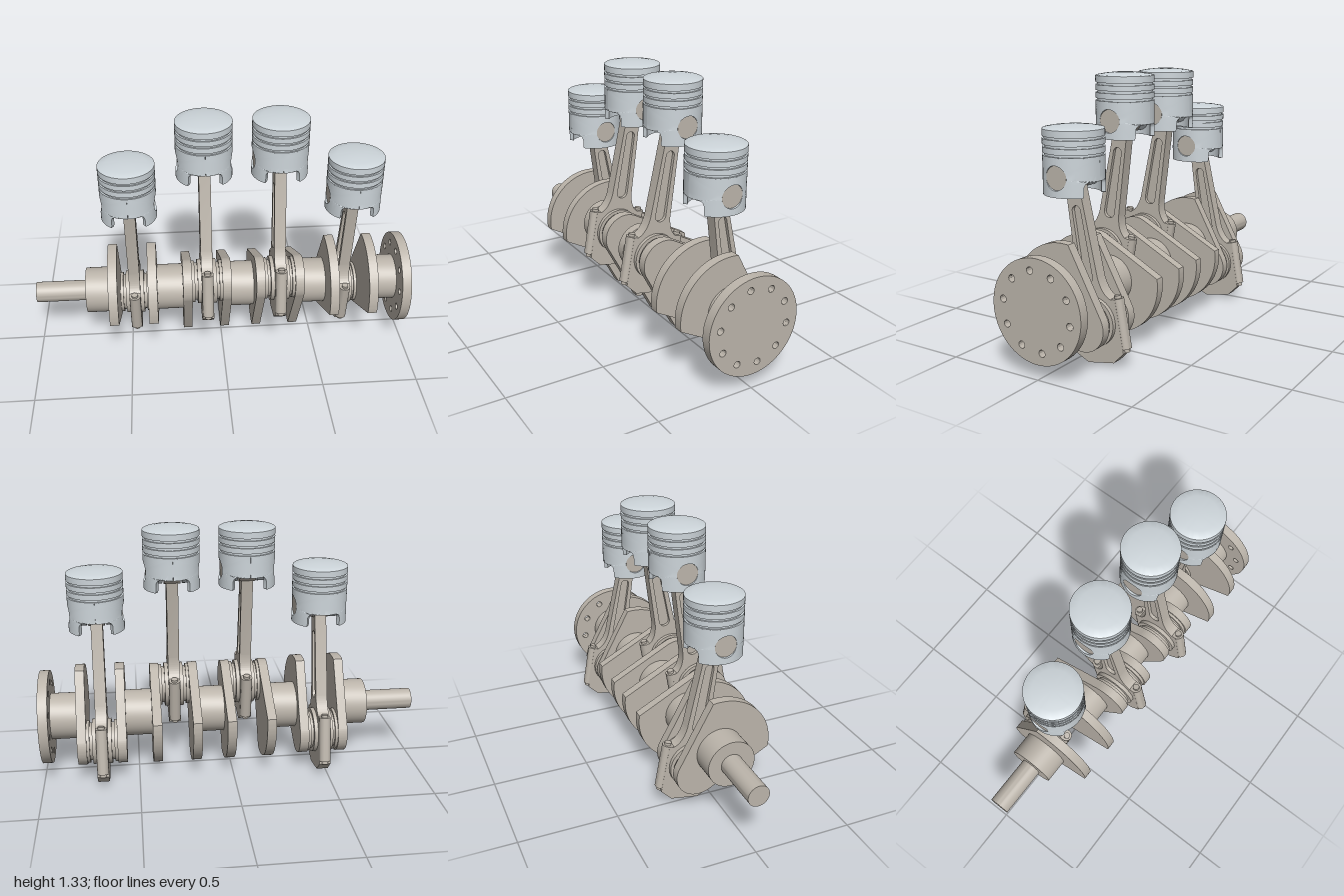
import * as THREE from 'three';
import { toCreasedNormals } from 'three/addons/utils/BufferGeometryUtils.js';

const steel = new THREE.MeshStandardMaterial({ color: 0xbcb5ab });
const alloy = new THREE.MeshStandardMaterial({ color: 0xcdd5da, side: THREE.DoubleSide });

const AXIS_Y = 0.32;                       // crankshaft centre line
const PIN = { z: -0.108, y: -0.107 };      // crank pin of the outer throws, from the axis
const ROD = 0.684;                         // rod length between centres

function add(parent, name, geo, mat = steel) {
  const mesh = new THREE.Mesh(toCreasedNormals(geo, 0.55), mat);
  mesh.name = name;
  parent.add(mesh);
  return mesh;
}

// cylinder lying along x between x0 and x1
const rod = (r, x0, x1, seg = 48) =>
  new THREE.CylinderGeometry(r, r, x1 - x0, seg).rotateZ(Math.PI / 2).translate((x0 + x1) / 2, 0, 0);

// shape drawn in (z, y), extruded along x and centred on x = 0
function slab(shape, width) {
  return new THREE.ExtrudeGeometry(shape, { depth: width, bevelEnabled: false, curveSegments: 32 })
    .translate(0, 0, -width / 2).rotateY(-Math.PI / 2);
}

const circlePath = (x, y, r) => new THREE.Path().absarc(x, y, r, 0, Math.PI * 2, true);

// counterweight arc joined by straight flanks to a round pin end
function webShape() {
  const R = 0.27, r = 0.118, s = new THREE.Shape();
  const a = -0.149, end = Math.PI / 2 - a;
  s.absarc(0, 0, R, a, end, false);
  const corner = new THREE.Vector2(R * Math.cos(a) - PIN.z, R * Math.sin(a) - PIN.y);
  const t = corner.angle() - Math.acos(r / corner.length());
  s.absarc(PIN.z, PIN.y, r, Math.PI / 2 - t, t + Math.PI * 2, false);
  s.closePath();
  return s;
}

// one crank throw: two webs, a pin and its shoulders
function crankThrow() {
  const g = new THREE.Group();
  g.name = 'crankThrow';
  for (const side of [-1, 1]) {
    add(g, 'crankWeb', slab(webShape(), 0.048)).position.x = side * 0.103;
    add(g, 'pinShoulder', rod(0.11, -0.008, 0.008)).position.set(side * 0.072, PIN.y, PIN.z);
  }
  add(g, 'crankPin', rod(0.098, -0.08, 0.08)).position.set(0, PIN.y, PIN.z);
  return g;
}

// connecting rod, origin at the big end centre, pointing up
function connectingRod() {
  const g = new THREE.Group();
  g.name = 'connectingRod';

  const s = new THREE.Shape();
  s.moveTo(-0.072, -0.2);
  s.lineTo(0.072, -0.2);
  s.lineTo(0.135, -0.155);
  s.lineTo(0.135, 0.1);
  s.lineTo(0.11, 0.1);
  s.quadraticCurveTo(0.068, 0.125, 0.058, 0.2);
  s.lineTo(0.04, 0.6);
  s.lineTo(0.04, 0.66);
  s.lineTo(-0.04, 0.66);
  s.lineTo(-0.04, 0.6);
  s.lineTo(-0.058, 0.2);
  s.quadraticCurveTo(-0.068, 0.125, -0.11, 0.1);
  s.lineTo(-0.135, 0.1);
  s.lineTo(-0.135, -0.155);
  s.closePath();
  // long tapered recess on both faces
  const slot = new THREE.Path();
  slot.absarc(0, 0.208, 0.03, Math.PI, Math.PI * 2, false);
  slot.absarc(0, 0.518, 0.023, 0, Math.PI, false);
  slot.closePath();
  s.holes.push(slot);
  add(g, 'rodBody', slab(s, 0.06));
  add(g, 'rodRecess', new THREE.BoxGeometry(0.024, 0.38, 0.07).translate(0, 0.36, 0));

  add(g, 'bigEndBearing', rod(0.118, -0.05, 0.05));
  add(g, 'smallEnd', rod(0.07, -0.042, 0.042)).position.y = ROD;
  for (const side of [-1, 1]) {
    add(g, 'boltBoss', new THREE.CylinderGeometry(0.03, 0.03, 0.237, 24)).position.set(0, -0.018, side * 0.13);
    add(g, 'capBolt', new THREE.CylinderGeometry(0.017, 0.017, 0.268, 16)).position.set(0, -0.02, side * 0.133);
  }
  return g;
}

// half of the skirt: wall lofted from the pin hole out to a notched outline
function skirtHalf() {
  const R = 0.143, IN = 0.122, H = Math.PI / 2;
  const o = new THREE.Shape();
  o.moveTo(H, 0.09);
  o.lineTo(-H, 0.09);
  o.lineTo(-H, -0.02);
  o.lineTo(-1.12, -0.02);
  o.quadraticCurveTo(-0.94, -0.022, -0.94, -0.05);
  o.lineTo(-0.94, -0.088);
  o.lineTo(0.94, -0.088);
  o.lineTo(0.94, -0.05);
  o.quadraticCurveTo(0.94, -0.022, 1.12, -0.02);
  o.lineTo(H, -0.02);
  o.closePath();
  const outline = o.getSpacedPoints(160);
  const steps = 8, rings = [];
  for (let i = 0; i <= steps; i++) rings.push([i / steps, R]);
  for (let i = steps; i >= 0; i--) rings.push([i / steps, IN]);
  rings.push([0, R]);
  const pos = [], idx = [], n = outline.length;
  for (const [t, r] of rings) {
    for (const p of outline) {
      const a = Math.atan2(p.y, p.x * R);
      const hole = Math.asin(0.056 * Math.cos(a) / R);
      const th = hole + (p.x - hole) * t;
      const y = 0.056 * Math.sin(a) * (1 - t) + p.y * t;
      pos.push(r * Math.cos(th), y, r * Math.sin(th));
    }
  }
  for (let j = 0; j < rings.length - 1; j++) {
    for (let i = 0; i < n - 1; i++) {
      const a = j * n + i, b = a + n;
      idx.push(a, a + 1, b, a + 1, b + 1, b);
    }
  }
  const geo = new THREE.BufferGeometry();
  geo.setAttribute('position', new THREE.Float32BufferAttribute(pos, 3));
  geo.setIndex(idx);
  return geo;
}

// piston, origin at the wrist pin centre
function piston() {
  const g = new THREE.Group();
  g.name = 'piston';
  const R = 0.143, r = 0.134;
  const profile = [[0, 0.07], [0.122, 0.07], [0.122, 0.088], [R, 0.088]];
  for (const y of [0.093, 0.131, 0.168]) profile.push([R, y], [r, y], [r, y + 0.011], [R, y + 0.011]);
  profile.push([R, 0.211], [0.138, 0.214], [0.1, 0.221], [0.05, 0.2265], [0, 0.228]);
  add(g, 'pistonCrown', new THREE.LatheGeometry(profile.map(p => new THREE.Vector2(...p)), 64), alloy);
  for (const side of [0, 1]) {
    const half = add(g, 'pistonSkirt', skirtHalf(), alloy);
    half.rotation.y = side * Math.PI;
    const s = side ? -1 : 1;
    add(g, 'pinBoss', rod(0.068, 0.05, 0.115), alloy).scale.x = 1;
    g.children[g.children.length - 1].position.x = s > 0 ? 0 : -0.165;
  }
  add(g, 'wristPin', rod(0.0555, -0.132, 0.132));
  return g;
}

export function createModel() {
  const model = new THREE.Group();
  model.name = 'crankshaftAssembly';
  const crank = new THREE.Group();
  crank.name = 'crankshaft';
  crank.position.y = AXIS_Y;
  model.add(crank);

  // snout, main journals between the throws, and drilled flange
  add(crank, 'snout', rod(0.055, -1, -0.72));
  const journals = [[-0.73, -0.59], [-0.355, -0.2], [0.03, 0.18], [0.42, 0.57], [0.805, 0.96]];
  for (const [x0, x1] of journals) add(crank, 'mainJournal', rod(0.122, x0, x1));
  const disc = new THREE.Shape().absarc(0, 0, 0.245, 0, Math.PI * 2, false);
  for (let i = 0; i < 10; i++) {
    const a = 0.15 + i * Math.PI / 5;
    disc.holes.push(circlePath(0.188 * Math.sin(a), 0.188 * Math.cos(a), 0.017));
  }
  add(crank, 'flange', slab(disc, 0.05)).position.x = 0.975;

  // four cylinders: outer pair down, inner pair up
  for (const [x, up] of [[-0.474, false], [-0.085, true], [0.298, true], [0.687, false]]) {
    const t = crankThrow();
    t.position.x = x;
    t.rotation.x = up ? Math.PI : 0;
    crank.add(t);

    const sign = up ? -1 : 1;
    const pinZ = sign * PIN.z, pinY = AXIS_Y + sign * PIN.y;
    const topZ = up ? -0.007 : 0.013;
    const lean = Math.asin((topZ - pinZ) / ROD);
    const c = connectingRod();
    c.position.set(x, pinY, pinZ);
    c.rotation.x = lean;
    model.add(c);

    const p = piston();
    p.position.set(x, pinY + ROD * Math.cos(lean), topZ);
    model.add(p);
  }
  return model;
}
